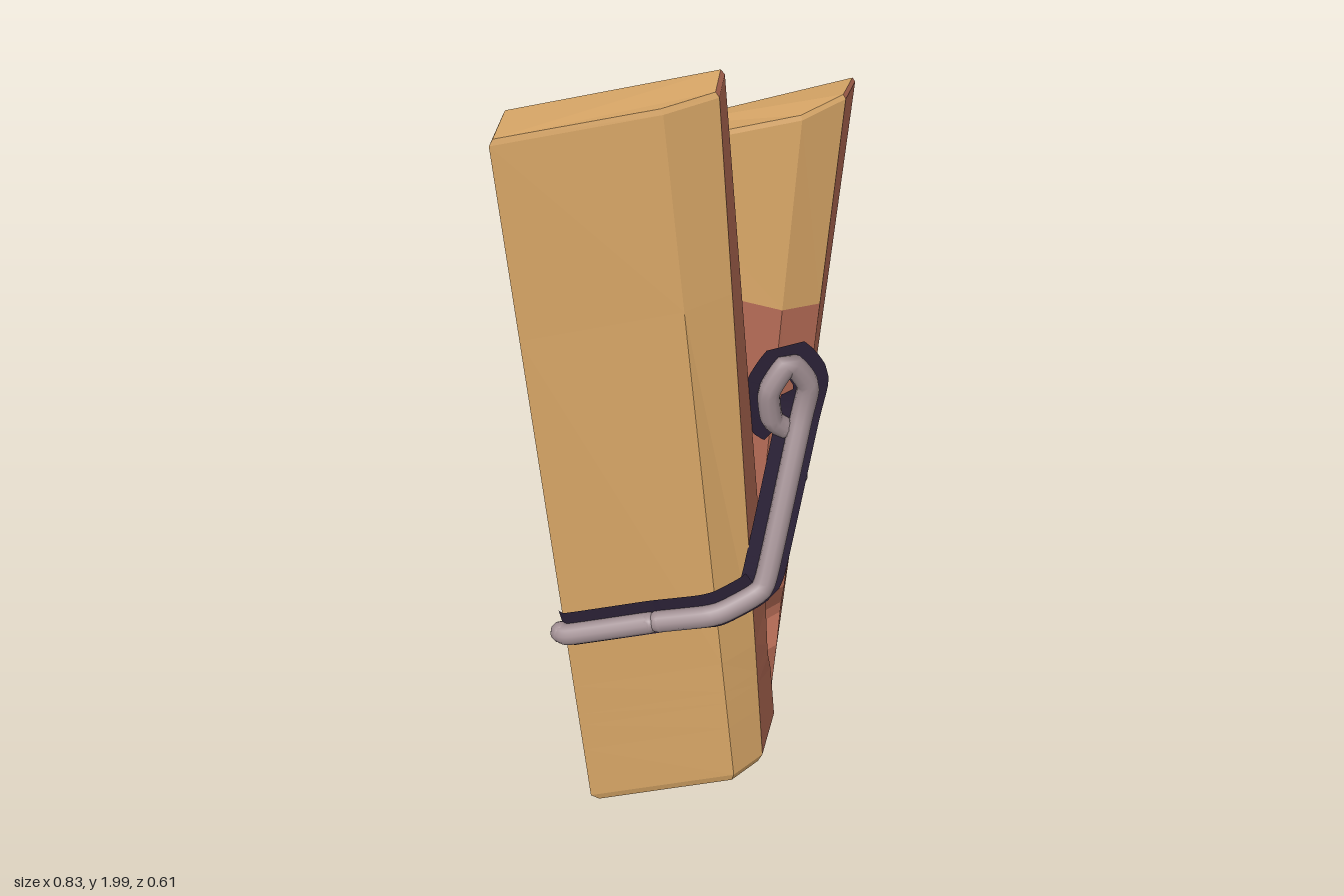
import * as THREE from 'three';

const mat = (name, color, side = THREE.FrontSide) => {
  const m = new THREE.MeshStandardMaterial({ color, side });
  m.name = name;
  return m;
};
const V = (p) => new THREE.Vector3(...p);

// Direction across the gap, from the back plank to the front plank
const ACROSS = new THREE.Vector3(-0.375, 0, 0.927);

function meshFrom(points, material, name) {
  const g = new THREE.BufferGeometry().setFromPoints(points);
  g.computeVertexNormals();
  const m = new THREE.Mesh(g, material);
  m.name = name;
  return m;
}

// Plank lofted between a bottom and a top five-sided outline.
// inner: corners that sink into the notch; split: end of the dark inner face per corner
function plank(name, bottom, top, { inner, sink, darkEdges, paleTopEdges = [], split }, pale, dark) {
  const B = bottom.map(V), T = top.map(V);
  const levels = [
    { t: 0, shrink: 0.93 }, { t: 0.012 }, { t: 0.1 }, { t: 0.145, notch: 1 }, { t: 0.165, notch: 1 },
    { t: 0.215 }, { t: 0.75, split: true }, { t: 0.993 }, { t: 1, shrink: 0.965 },
  ];
  const rings = levels.map((l) => {
    const ring = B.map((b, i) => {
      const p = b.clone().lerp(T[i], l.split && split ? split[i] : l.t);
      if (l.notch && inner.includes(i)) p.addScaledVector(ACROSS, sink);
      return p;
    });
    if (l.shrink) {
      const c = ring.reduce((s, p) => s.add(p), new THREE.Vector3()).divideScalar(ring.length);
      ring.forEach((p) => p.sub(c).multiplyScalar(l.shrink).add(c));
    }
    return ring;
  });
  const paleTris = [], darkTris = [];
  const n = B.length;
  for (let k = 0; k < rings.length - 1; k++) {
    for (let i = 0; i < n; i++) {
      const j = (i + 1) % n, lo = rings[k], hi = rings[k + 1];
      const isDark = darkEdges.includes(i) && !(paleTopEdges.includes(i) && k >= 6);
      (isDark ? darkTris : paleTris).push(lo[i], hi[i], hi[j], lo[i], hi[j], lo[j]);
    }
  }
  const end = rings[rings.length - 1], start = rings[0];
  for (let i = 1; i < n - 1; i++) {
    paleTris.push(end[0], end[i + 1], end[i]);
    darkTris.push(start[0], start[i], start[i + 1]);
  }
  const g = new THREE.Group();
  g.name = name;
  g.add(meshFrom(paleTris, pale, name + 'PaleFaces'), meshFrom(darkTris, dark, name + 'DarkFaces'));
  return g;
}

const pathOf = (pts) => new THREE.CatmullRomCurve3(pts.map(V), false, 'catmullrom', 0.3);

// Round wire with rounded ends
function wire(name, pts, material, r = 0.026) {
  const g = new THREE.Group();
  g.name = name;
  const curve = pathOf(pts);
  g.add(new THREE.Mesh(new THREE.TubeGeometry(curve, 64, r, 10), material));
  for (const k of [0, 1]) {
    const cap = new THREE.Mesh(new THREE.SphereGeometry(r, 10, 8), material);
    cap.position.copy(curve.getPoint(k));
    g.add(cap);
  }
  g.children.forEach((c) => { c.name = name + 'Part'; });
  return g;
}

// Flat dark strip lying under a wire
function strip(name, pts, toSurface, innerWidth, material) {
  const curve = pathOf(pts), N = 80, rows = [], tris = [];
  for (let i = 0; i <= N; i++) {
    const k = i / N;
    const t = curve.getTangentAt(k);
    const w = t.clone().cross(new THREE.Vector3(0, 0, 1)).normalize();
    const d = t.clone().cross(w).normalize().multiplyScalar(toSurface * 0.016);
    const p = curve.getPointAt(k).add(d);
    rows.push([p.clone().addScaledVector(w, 0.056), p.clone().addScaledVector(w, -innerWidth(k))]);
  }
  for (let i = 0; i < N; i++) {
    const [a, b] = rows[i], [c, d] = rows[i + 1];
    tris.push(a, b, d, a, d, c);
  }
  return meshFrom(tris, material, name);
}

export function createModel() {
  const pale = mat('paleWood', 0xd9a767);
  const dark = mat('redBrownWood', 0xb66c56);
  const metal = mat('greyMetal', 0xa08e92);
  const ink = mat('darkOutline', 0x2c2238, THREE.DoubleSide);

  const model = new THREE.Group();
  model.name = 'clothespin';

  // Front plank: outer left, inner left, inner right, outer right, chamfer
  model.add(plank('frontPlank',
    [[-0.27, 0.02, 0.1], [-0.14, 0, -0.05], [0.22, 0.18, 0.115], [0.145, 0.17, 0.235], [0.06, 0.15, 0.262]],
    [[-0.42, 1.9, 0.07], [-0.36, 1.89, -0.075], [0.06, 2, 0.1], [0.015, 2, 0.2], [-0.1, 1.98, 0.2]],
    { inner: [1, 2], sink: 0.04, darkEdges: [1, 2] }, pale, dark));

  // Back plank: outer left, outer right, inner right, chamfer, inner left
  model.add(plank('backPlank',
    [[-0.12, 0, -0.27], [0.3, 0.18, -0.1], [0.24, 0.19, 0.03], [0.15, 0.17, 0.048], [-0.2, 0.03, -0.1]],
    [[-0.01, 1.73, -0.23], [0.415, 1.865, -0.06], [0.35, 1.88, 0.045], [0.25, 1.85, 0.055], [-0.06, 1.75, -0.1]],
    { inner: [2, 3, 4], sink: -0.04, darkEdges: [1, 2, 3, 4], paleTopEdges: [2, 3],
      split: [0.8, 0.7, 0.7, 0.72, 0.82] }, pale, dark));

  // Spring wire across the front plank, up to a small loop
  const frontLeft = [[-0.33, 0.62, 0.105], [-0.31, 0.624, 0.123], [-0.14, 0.678, 0.2]];
  const frontRight = [
    [-0.12, 0.685, 0.21], [-0.02, 0.718, 0.263], [0.02, 0.73, 0.272], [0.1, 0.76, 0.268], [0.13, 0.8, 0.255],
    [0.245, 1.13, 0.135], [0.262, 1.22, 0.127], [0.215, 1.285, 0.125], [0.17, 1.22, 0.125],
    [0.18, 1.14, 0.122], [0.21, 1.11, 0.12],
  ];
  model.add(wire('springFrontEnd', frontLeft, metal));
  model.add(wire('springFrontLoop', frontRight, metal));
  model.add(strip('springFrontOutline', [...frontLeft, ...frontRight], 1, (k) => (k > 0.75 ? 0.03 : 0.056), ink));

  // Spring wire across the back plank, hooked around its right edge
  const back = [
    [-0.142, 0.6, -0.19], [-0.115, 0.6, -0.255], [-0.07, 0.612, -0.286],
    [-0.03, 0.627, -0.272], [0.33, 0.768, -0.13], [0.347, 0.775, -0.115],
  ];
  model.add(wire('springBack', back, metal));
  model.add(strip('springBackOutline', back, -1, () => 0.056, ink));

  return model;
}
